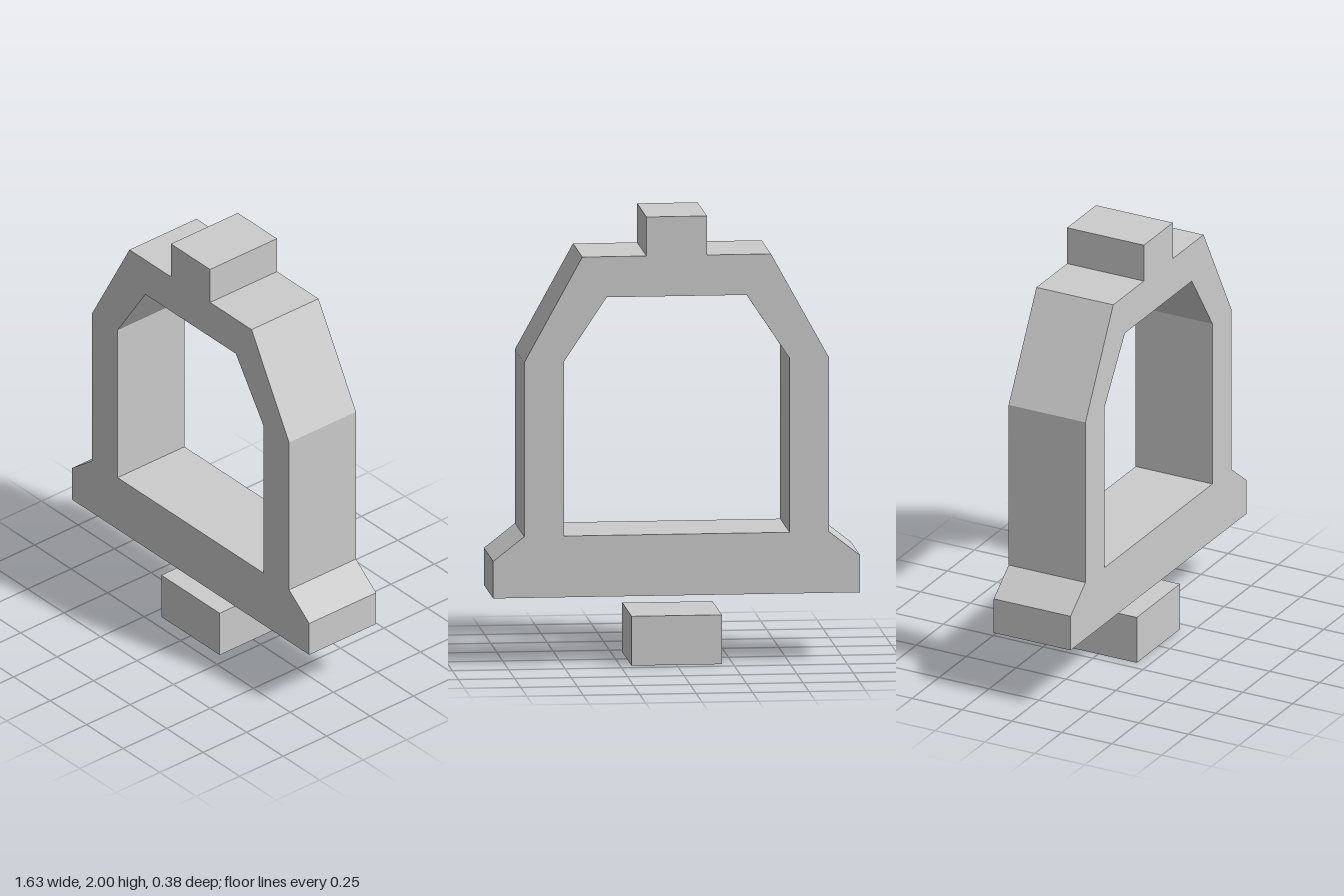
import * as THREE from 'three';

const DEPTH = 0.385;

// Mirrors a right-hand half profile (bottom to top) into a closed outline
function mirrored(half) {
  const other = half.map(([x, y]) => [-x, y]).reverse();
  return [...half, ...other].map(([x, y]) => new THREE.Vector2(x, y));
}

export function createModel() {
  const group = new THREE.Group();
  const material = new THREE.MeshStandardMaterial({ color: 0xcccccc, flatShading: true });

  // Bell body: flared foot, straight sides, sloped shoulders and top knob
  const body = new THREE.Shape(mirrored([
    [0.813, 0.31], [0.813, 0.475], [0.675, 0.583], [0.675, 1.36],
    [0.418, 1.826], [0.134, 1.826], [0.134, 2],
  ]));
  // Window through the body
  body.holes.push(new THREE.Path(mirrored([
    [0.5, 0.583], [0.5, 1.36], [0.31, 1.645],
  ]).reverse()));
  const bodyGeometry = new THREE.ExtrudeGeometry(body, { depth: DEPTH, bevelEnabled: false });
  bodyGeometry.translate(0, 0, -DEPTH / 2);
  const bellFrame = new THREE.Mesh(bodyGeometry, material);
  bellFrame.name = 'bellFrame';
  group.add(bellFrame);

  // Separate clapper block below the body
  const clapper = new THREE.Mesh(new THREE.BoxGeometry(0.4, 0.22, DEPTH), material);
  clapper.position.y = 0.11;
  clapper.name = 'clapper';
  group.add(clapper);

  return group;
}
